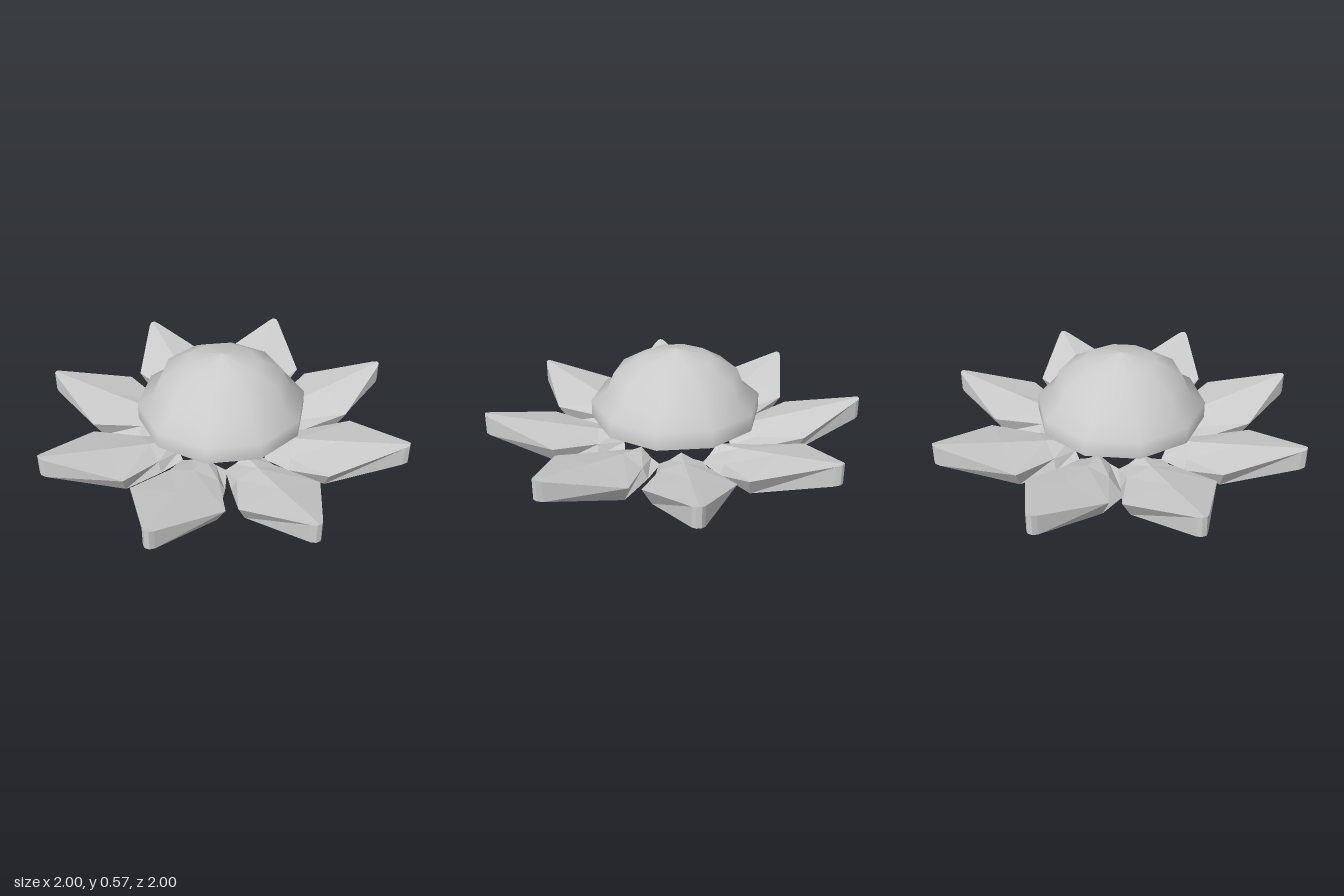
import * as THREE from 'three';

// Petal cross-sections from the inner end to the tip:
// [top radius, top half width, top edge y, ridge y, bottom radius, bottom half width, bottom y]
const SECTIONS = [
  [0.28, 0.06, 0.07, 0.11, 0.28, 0.115, 0.05],
  [0.42, 0.12, 0.095, 0.128, 0.42, 0.15, 0.043],
  [0.65, 0.225, 0.13, 0.172, 0.62, 0.175, 0.03],
  [0.98, 0.03, 0.235, 0.24, 0.98, 0.03, 0.13],
  [1.0, 0.012, 0.243, 0.245, 1.0, 0.012, 0.136],
];

function petalGeometry(widen, sagging) {
  const positions = [];
  SECTIONS.forEach(([tr, tw, ty, ridge, br, bw, by], i) => {
    const w = i < 3 ? widen : 1;
    const droop = sagging && i === 1;   // one petal sags at a lower corner
    positions.push(
      tw * w, ty, tr,
      0, ridge, tr,
      -tw * w, ty, tr,
      -bw * w, by, br,
      droop ? 0.2 : bw * w, droop ? 0 : by, br,
    );
  });
  const n = 5, last = (SECTIONS.length - 1) * n, index = [];
  for (let s = 0; s < last; s += n) {
    for (let j = 0; j < n; j++) {
      const k = (j + 1) % n;
      index.push(s + k, s + n + k, s + n + j, s + k, s + n + j, s + j);
    }
  }
  for (let j = 1; j < n - 1; j++) {
    index.push(last, last + j, last + j + 1, 0, j + 1, j);
  }
  const geometry = new THREE.BufferGeometry();
  geometry.setAttribute('position', new THREE.Float32BufferAttribute(positions, 3));
  geometry.setIndex(index);
  const flat = geometry.toNonIndexed();
  flat.computeVertexNormals();
  return flat;
}

export function createModel() {
  const model = new THREE.Group();
  model.name = 'flower';

  // Ring of eight thick, upturned petals
  const petalMaterial = new THREE.MeshStandardMaterial({ color: 0xcccccc, flatShading: true });
  const petals = new THREE.Group();
  petals.name = 'petals';
  for (let i = 0; i < 8; i++) {
    const petal = new THREE.Mesh(petalGeometry(i % 2 ? 1.1 : 1, i === 4), petalMaterial);
    petal.name = 'petal' + (i + 1);
    petal.rotation.y = i * Math.PI / 4;
    petals.add(petal);
  }
  model.add(petals);

  // Hollow ten-sided dome with a stepped rim
  const profile = [
    [0.445, 0.205], [0.445, 0.295], [0.365, 0.343], [0.325, 0.442], [0.19, 0.522], [0, 0.57],
  ].map(([r, y]) => new THREE.Vector2(r, y));
  const dome = new THREE.Mesh(
    new THREE.LatheGeometry(profile, 10),
    new THREE.MeshStandardMaterial({ color: 0xcccccc, side: THREE.DoubleSide }),
  );
  dome.name = 'centreDome';
  model.add(dome);

  return model;
}
